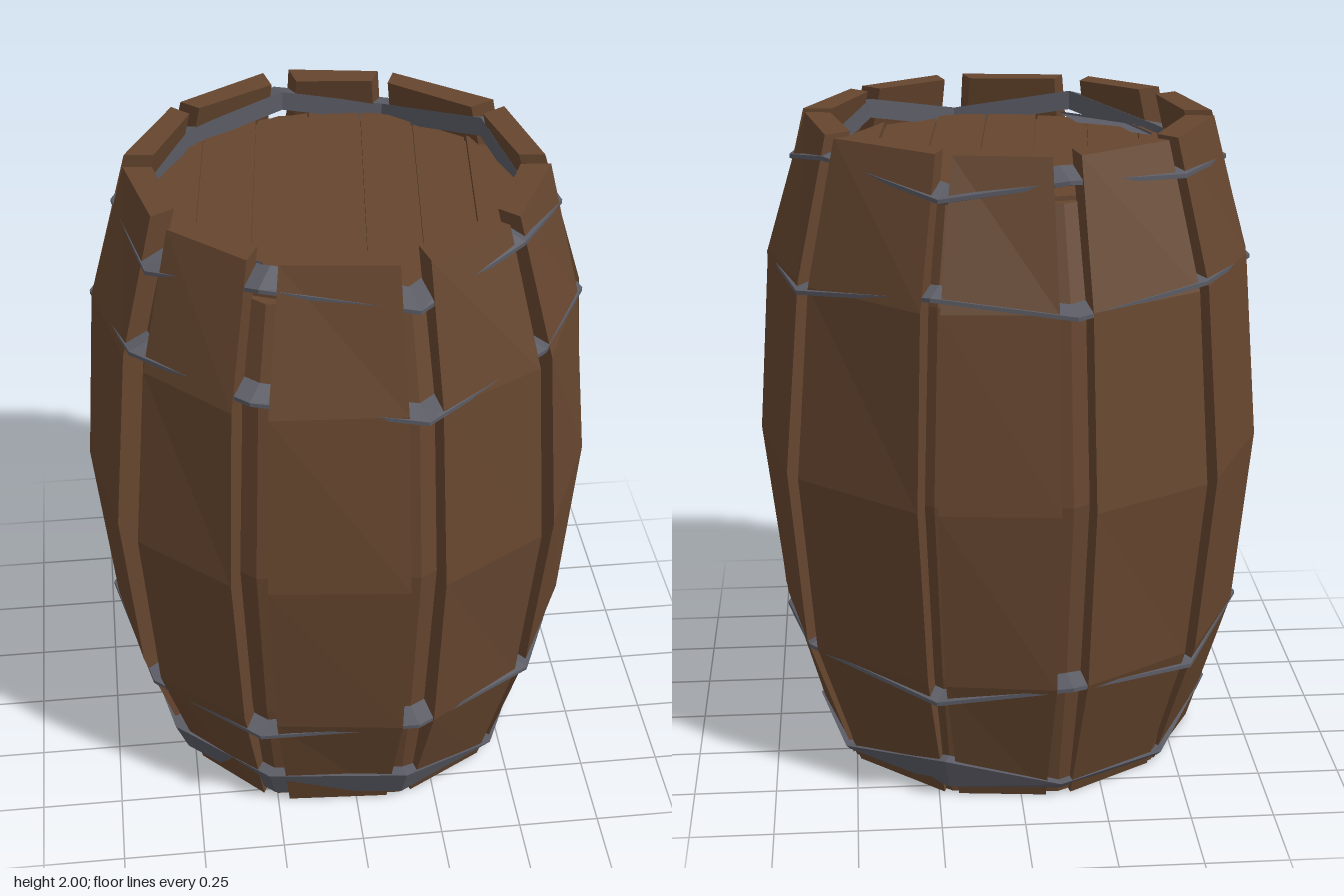
import * as THREE from 'three';

const wood = new THREE.MeshStandardMaterial({ name: 'brown wood', color: 0x66462f, flatShading: true });
const iron = new THREE.MeshStandardMaterial({ name: 'grey iron', color: 0x5b5c65, flatShading: true });

const polar = (deg, r, y) => {
  const a = THREE.MathUtils.degToRad(deg);
  return new THREE.Vector3(Math.cos(a) * r, y, Math.sin(a) * r);
};

// Skin a row of cross-sections; either cap the ends or join them into a loop.
function skin(rings, loop = false) {
  const pos = [];
  const tri = (...ps) => ps.forEach((p) => pos.push(p.x, p.y, p.z));
  const n = rings[0].length;
  const last = loop ? rings.length : rings.length - 1;
  for (let j = 0; j < last; j++) {
    const lo = rings[j], hi = rings[(j + 1) % rings.length];
    for (let i = 0; i < n; i++) {
      const k = (i + 1) % n;
      tri(lo[i], hi[i], hi[k]);
      tri(lo[i], hi[k], lo[k]);
    }
  }
  if (!loop) {
    const lo = rings[0], hi = rings[rings.length - 1];
    for (let i = 1; i < n - 1; i++) {
      tri(lo[0], lo[i], lo[i + 1]);
      tri(hi[0], hi[i + 1], hi[i]);
    }
  }
  const g = new THREE.BufferGeometry();
  g.setAttribute('position', new THREE.Float32BufferAttribute(pos, 3));
  g.computeVertexNormals();
  return g;
}

// Barrel profile: [height, radius at the stave corners]
const PROFILE = [[0, 0.585], [0.43, 0.72], [1, 0.775], [1.58, 0.725], [2, 0.61]];
function radiusAt(y) {
  for (let i = 1; i < PROFILE.length; i++) {
    const [y0, r0] = PROFILE[i - 1], [y1, r1] = PROFILE[i];
    if (y <= y1) return r0 + ((r1 - r0) * (y - y0)) / (y1 - y0);
  }
  return 0.61;
}

// Start and end angle of each hand-cut stave, clockwise from +x seen from above
const STAVES = [
  [8.2, 39.2], [44.5, 72.3], [80.3, 111.2], [119.6, 145.9], [154.1, 182.9],
  [189.7, 221], [225, 255], [262.6, 288.9], [293.4, 327.1], [332.1, 363],
];
const GAPS = STAVES.map(([a], i) => (i ? (a + STAVES[i - 1][1]) / 2 : (a + 3) / 2));

export function createModel() {
  const model = new THREE.Group();
  const add = (parent, name, geometry, material) => {
    const mesh = new THREE.Mesh(geometry, material);
    mesh.name = name;
    parent.add(mesh);
  };

  // Staves, each bulging at the middle with slightly uneven corners
  const staves = new THREE.Group();
  staves.name = 'staves';
  model.add(staves);
  STAVES.forEach(([a0, a1], s) => {
    const rings = PROFILE.map(([y, r], j) => {
      const wob = j === 2 ? 0 : 0.008 * Math.sin(s * 2.7 + j * 1.9);
      return [
        polar(a0, r + wob, y), polar(a1, r - wob, y),
        polar(a1 - 0.5, r - 0.08, y), polar(a0 + 0.5, r - 0.08, y),
      ];
    });
    add(staves, 'stave', skin(rings), wood);
  });

  // Core that closes the gaps and forms the bottom
  const coreHeights = [0.004, 0.43, 1, 1.58, 1.86];
  const core = coreHeights.map((y, j) => GAPS.map((a) => polar(a, radiusAt(y) - (j ? 0.06 : 0.005), y)));
  add(model, 'core', skin(core), wood);

  // Lid planks, laid slightly askew
  const lid = new THREE.Group();
  lid.name = 'lid';
  lid.rotation.y = -0.1;
  model.add(lid);
  const planks = 7, R = 0.56;
  for (let i = 0; i < planks; i++) {
    const u0 = -R + (2 * R * i) / planks + 0.003;
    const u1 = -R + (2 * R * (i + 1)) / planks - 0.003;
    const v0 = Math.sqrt(R * R - u0 * u0), v1 = Math.sqrt(R * R - u1 * u1);
    const top = 1.878 + 0.005 * Math.sin(i * 2.3);
    const ring = (y) => [[u0, -v0], [u1, -v1], [u1, v1], [u0, v0]].map(([x, z]) => new THREE.Vector3(x, y, z));
    add(lid, 'lidPlank', skin([ring(1.84), ring(top)]), wood);
  }

  // Thin wedge hoops that zigzag from gap to gap
  const hoop = (name, heights, half, out) => {
    const rings = GAPS.map((a, i) => {
      const y = heights[i], r = radiusAt(y);
      return [
        polar(a, r - 0.08, y + half), polar(a, r + out, y + 0.006),
        polar(a, r + out, y - 0.006), polar(a, r - 0.08, y - half),
      ];
    });
    add(model, name, skin(rings, true), iron);
  };
  hoop('topHoop', [1.86, 1.94, 1.87, 1.93, 1.86, 1.87, 1.9, 1.93, 1.88, 1.94], 0.03, 0.012);
  hoop('upperHoop', [1.56, 1.62, 1.56, 1.62, 1.62, 1.56, 1.6, 1.57, 1.62, 1.56], 0.025, 0.013);
  hoop('lowerHoop', [0.37, 0.43, 0.43, 0.37, 0.375, 0.43, 0.38, 0.43, 0.37, 0.43], 0.025, 0.016);

  // Broad foot hoop, its upper edge rising and falling around the barrel
  const rims = [0.045, 0.045, 0.14, 0.14, 0.14, 0.13, 0.045, 0.05, 0.14, 0.045];
  const foot = GAPS.map((a, i) => {
    const y = rims[i], r = radiusAt(y);
    return [
      polar(a, r - 0.06, y), polar(a, r + 0.02, y),
      polar(a, radiusAt(0.03) + 0.01, 0.03), polar(a, radiusAt(0.03) - 0.06, 0.025),
    ];
  });
  add(model, 'footHoop', skin(foot, true), iron);

  // Bent piece of hoop poking through onto the lid
  const shard = [[-0.46, 0.16], [-0.4, 0.21], [-0.38, 0.29], [-0.25, 0.36], [-0.21, 0.5], [-0.4, 0.34]];
  const shardRing = (y) => shard.map(([x, z]) => new THREE.Vector3(x, y, z)).reverse();
  add(model, 'lidShard', skin([shardRing(1.885), shardRing(1.892)]), iron);

  return model;
}
